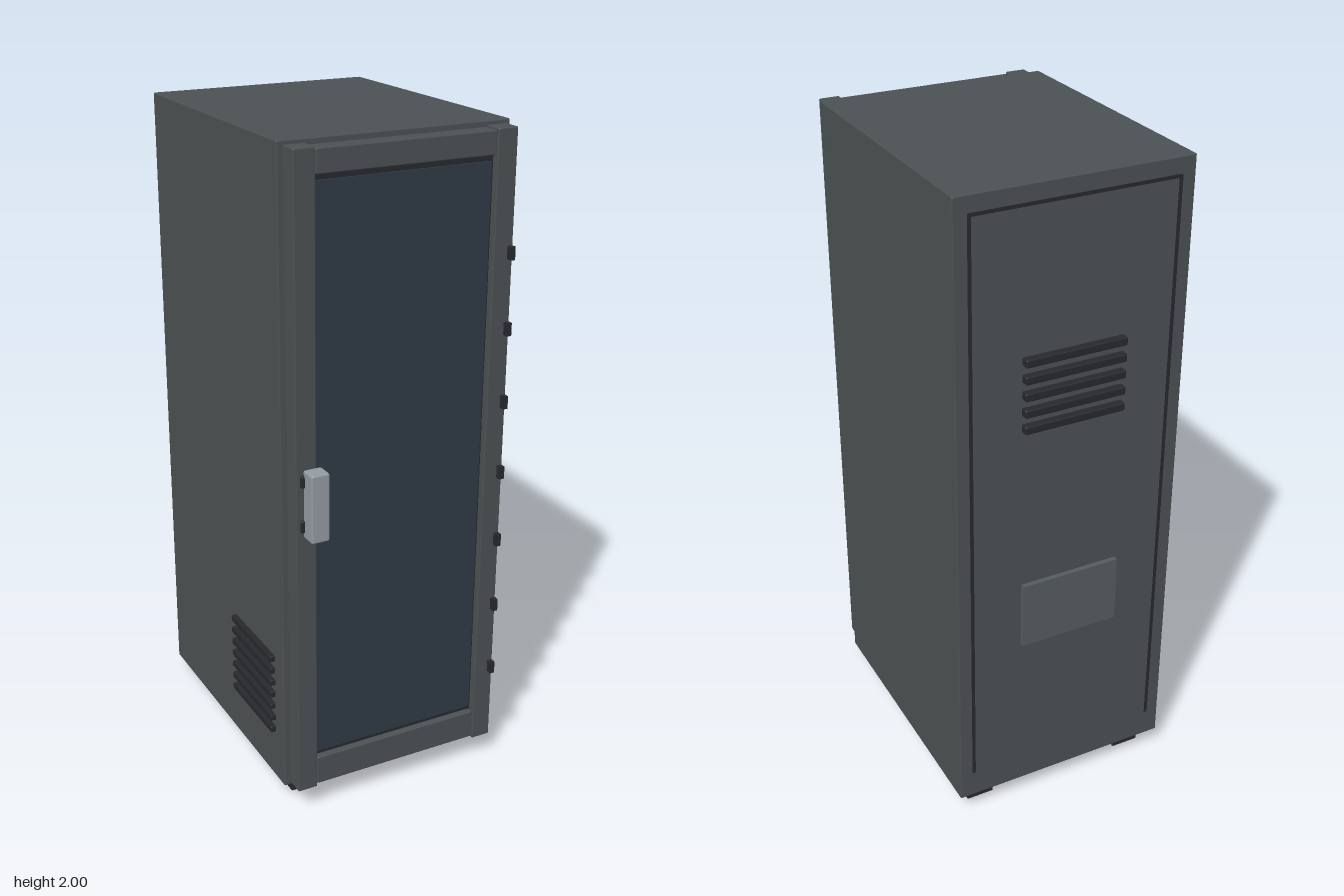
import * as THREE from 'three';
import { RoundedBoxGeometry } from 'three/addons/geometries/RoundedBoxGeometry.js';

const paint = (color) => new THREE.MeshStandardMaterial({ color });
const steel = paint(0x4b5052);
const dark = paint(0x26282c);
const glass = paint(0x2f3b44);
const silver = paint(0x929aa0);
const plate = paint(0x545c60);

export function createModel() {
  const model = new THREE.Group();

  // Box from its limits on each axis, with an optional softened edge
  function block(name, material, [x0, x1], [y0, y1], [z0, z1], radius = 0) {
    const size = [x1 - x0, y1 - y0, z1 - z0];
    const geometry = radius
      ? new RoundedBoxGeometry(...size, 2, radius)
      : new THREE.BoxGeometry(...size);
    const mesh = new THREE.Mesh(geometry, material);
    mesh.name = name;
    mesh.position.set((x0 + x1) / 2, (y0 + y1) / 2, (z0 + z1) / 2);
    model.add(mesh);
    return mesh;
  }

  // Evenly spaced column of equal blocks
  function column(name, material, count, firstY, step, height, x, z, radius = 0) {
    for (let i = 0; i < count; i++) {
      const y = firstY + i * step;
      block(name, material, x, [y - height / 2, y + height / 2], z, radius);
    }
  }

  // Cabinet
  block('cabinetBody', steel, [-0.345, 0.357], [0.06, 2], [-0.477, 0.38], 0.004);

  // Feet
  for (const x of [[-0.302, -0.212], [0.225, 0.313]])
    for (const z of [[0.224, 0.339], [-0.433, -0.313]])
      block('foot', dark, x, [0, 0.062], z, 0.004);

  // Door frame: two stiles and two rails
  const doorZ = [0.385, 0.445];
  block('doorStileRight', steel, [-0.33, -0.267], [0.075, 1.99], doorZ, 0.004);
  block('doorStileLeft', steel, [0.279, 0.341], [0.075, 1.99], doorZ, 0.004);
  block('doorRailTop', steel, [-0.265, 0.277], [1.918, 1.985], [0.387, 0.442], 0.004);
  block('doorRailBottom', steel, [-0.265, 0.277], [0.082, 0.174], [0.387, 0.442], 0.004);

  // Window with its dark seal
  block('doorSeal', dark, [-0.268, 0.28], [0.17, 1.92], [0.379, 0.422]);
  block('doorWindow', glass, [-0.263, 0.272], [0.188, 1.9], [0.4, 0.428]);

  // Handle on two mounts
  block('doorHandle', silver, [-0.308, -0.252], [0.914, 1.118], [0.444, 0.497], 0.006);
  for (const y of [0.95, 1.085])
    block('handleMount', dark, [-0.318, -0.242], [y - 0.018, y + 0.018], [0.443, 0.455], 0.004);

  // Hinge pins
  column('hingePin', dark, 7, 0.345, 0.218, 0.038, [0.308, 0.323], [0.467, 0.485]);

  // Vents on the back and on the right side
  column('backVentSlat', dark, 5, 1.315, 0.05, 0.024, [-0.149, 0.16], [-0.5, -0.474], 0.004);
  column('sideVentSlat', dark, 7, 0.23, 0.0405, 0.019, [-0.361, -0.342], [0.043, 0.324], 0.003);

  // Plate and panel seams on the back
  block('backPlate', plate, [-0.149, 0.16], [0.595, 0.805], [-0.499, -0.484]);
  const seamZ = [-0.479, -0.475];
  for (const x of [-0.3, 0.312])
    block('backSeamSide', dark, [x - 0.005, x + 0.005], [0.15, 1.95], seamZ);
  block('backSeamTop', dark, [-0.3, 0.312], [1.942, 1.952], seamZ);

  return model;
}
